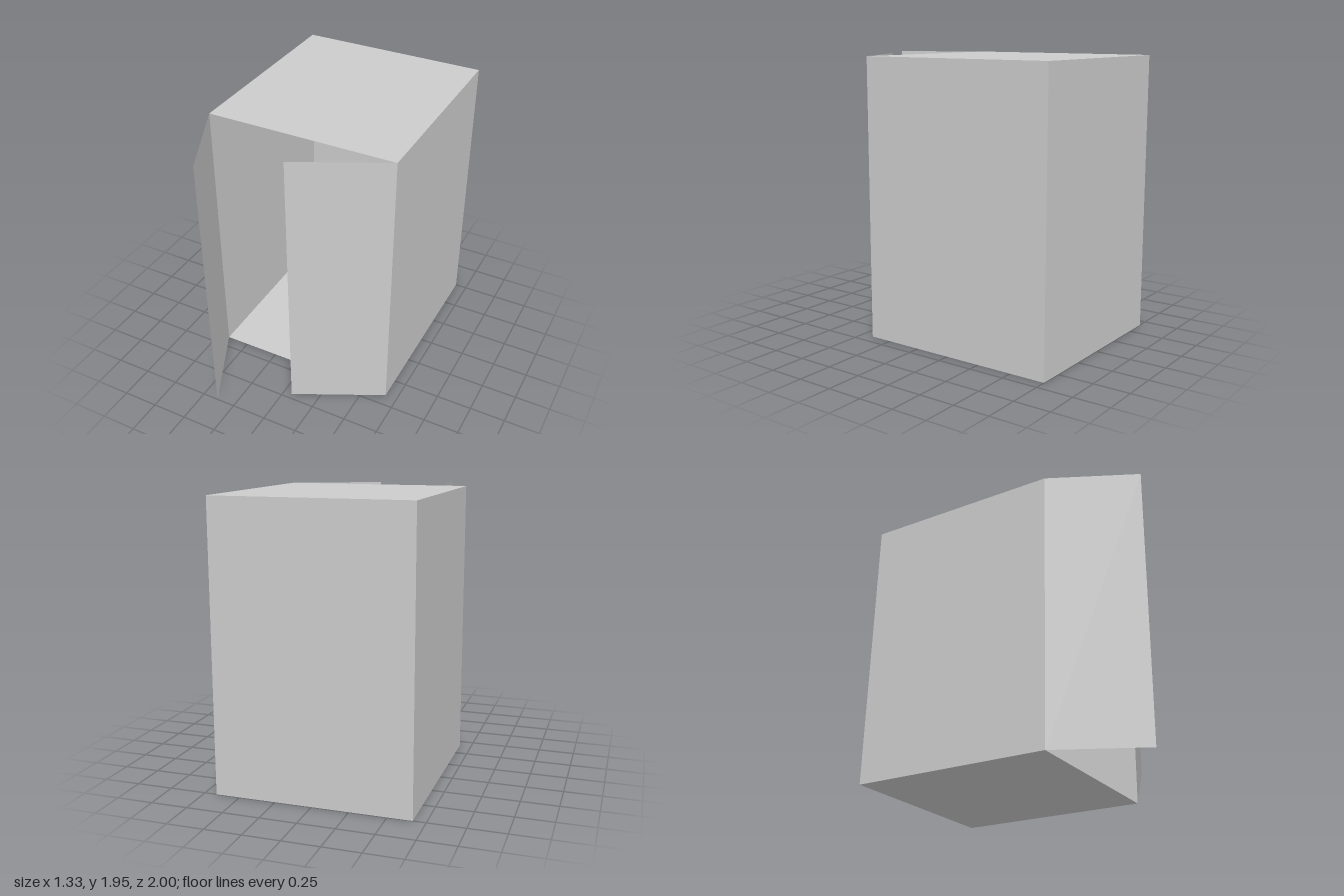
import * as THREE from 'three';

const W = 1.33, H = 1.95, BACK = -1, FRONT = 0.41;
const D = FRONT - BACK, MID = (FRONT + BACK) / 2;

export function createModel() {
  const model = new THREE.Group();
  model.name = 'openCabinet';
  const material = new THREE.MeshStandardMaterial({
    color: 0xcccccc, side: THREE.DoubleSide, flatShading: true,
  });

  // Thin sheet with its rotation and centre
  function panel(name, w, h, position, rx = 0, ry = 0) {
    const mesh = new THREE.Mesh(new THREE.PlaneGeometry(w, h), material);
    mesh.name = name;
    mesh.position.set(...position);
    mesh.rotation.set(rx, ry, 0);
    model.add(mesh);
  }

  // Upright sheet between two plan points [x, z]
  function wall(name, [x0, z0], [x1, z1]) {
    const dx = x1 - x0, dz = z1 - z0;
    panel(name, Math.hypot(dx, dz), H, [(x0 + x1) / 2, H / 2, (z0 + z1) / 2], 0, Math.atan2(-dz, dx));
  }

  // Cabinet shell, open at the front
  panel('top', W, D, [0, H, MID], -Math.PI / 2);
  panel('floor', W, D, [0, 0, MID], Math.PI / 2);
  wall('backWall', [W / 2, BACK], [-W / 2, BACK]);
  wall('leftWall', [W / 2, FRONT], [W / 2, BACK]);
  wall('rightWall', [-W / 2, BACK], [-W / 2, FRONT]);

  // Doors hinged on the front corners, swung ajar by different amounts
  wall('leftDoor', [0.06, 0.71], [W / 2, FRONT]);
  wall('rightDoor', [-W / 2, FRONT], [-0.385, 1]);

  return model;
}
